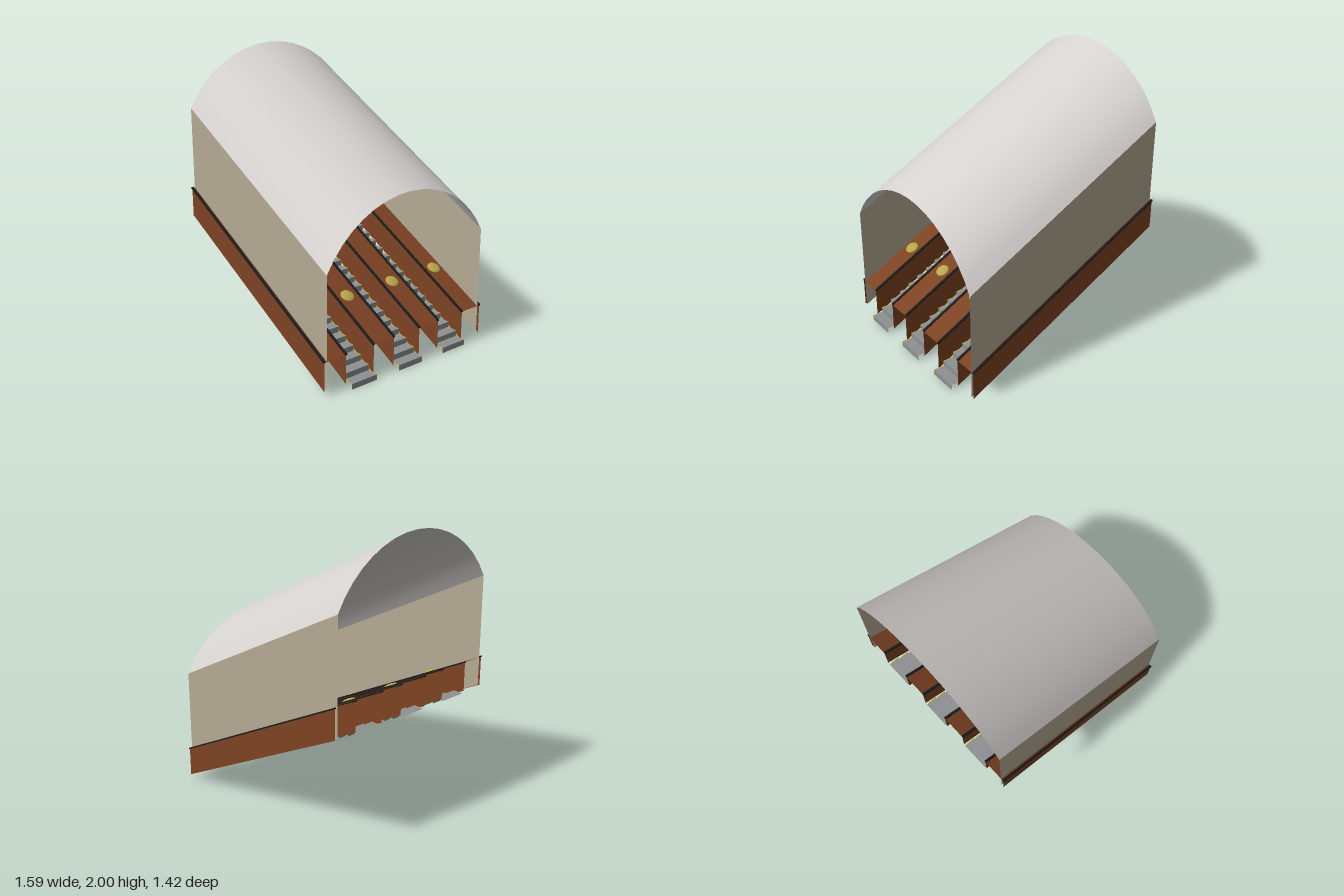
import * as THREE from 'three';

const X0 = -0.797, X1 = 0.752, SLOPE = 0.5;
const drop = (x) => SLOPE * (x - X0);

const mat = (name, color, side = THREE.DoubleSide) => {
  const m = new THREE.MeshStandardMaterial({ color, side });
  m.name = name;
  return m;
};

// Sweeps an open [z, y] profile down the incline; y is given at the upper end
function sweep(profile) {
  const pos = [], idx = [];
  for (const [z, y] of profile) pos.push(X0, y, z, X1, y - drop(X1), z);
  for (let i = 0; i < profile.length - 1; i++) {
    const a = i * 2;
    idx.push(a, a + 1, a + 2, a + 1, a + 3, a + 2);
  }
  const g = new THREE.BufferGeometry();
  g.setAttribute('position', new THREE.Float32BufferAttribute(pos, 3));
  g.setIndex(idx);
  g.computeVertexNormals();
  return g;
}

// Staircase sheet of treads and risers between two z values
function stairSheet(z0, z1, lift = 0) {
  const n = 20, run = 1.592 / n, rise = 0.785 / n, pos = [];
  const quad = (xa, ya, xb, yb) => pos.push(
    xa, ya, z0, xa, ya, z1, xb, yb, z1, xa, ya, z0, xb, yb, z1, xb, yb, z0);
  for (let k = 0; k < n; k++) {
    const x = X0 + k * run + lift, y = 0.785 - k * rise + lift;
    quad(x, y, x + run, y);
    quad(x + run, y, x + run, y - rise);
  }
  const g = new THREE.BufferGeometry();
  g.setAttribute('position', new THREE.Float32BufferAttribute(pos, 3));
  g.computeVertexNormals();
  return g;
}

export function createModel() {
  const group = new THREE.Group();
  group.name = 'escalatorTunnel';
  const M = {
    roof: mat('pale grey', 0xd6d2d0),
    wall: mat('beige', 0xb5a994),
    brown: mat('brown', 0x7c4223),
    black: mat('black', 0x1c1c1c),
    step: mat('steel grey', 0x8e9092),
    yellow: mat('yellow', 0xc9ae2c),
    lamp: mat('lamp yellow', 0xb8a648),
  };
  const add = (name, geo, material, parent = group) => {
    const m = new THREE.Mesh(geo, material);
    m.name = name;
    parent.add(m);
    return m;
  };

  // Vaulted roof
  const half = 0.68, spring = 1.592, rise = 0.408;
  const R = (half * half + rise * rise) / (2 * rise), A = Math.asin(half / R);
  const arc = [];
  for (let i = 0; i <= 16; i++) {
    const a = A - (2 * A * i) / 16;
    arc.push([R * Math.sin(a), 2 - R + R * Math.cos(a)]);
  }
  add('roof', sweep(arc), M.roof);

  // Side walls, carried down behind the outer skirts
  for (const s of [1, -1]) add('wall', sweep([[s * half, 0.805], [s * half, spring]]), M.wall);

  // Balustrades: open channels with two handrails and two lamps each
  const shear = new THREE.Matrix4().set(1, 0, 0, 0, -SLOPE, 1, 0, 0, 0, 0, 1, 0, 0, 0, 0, 1);
  const bottom = 0.8, top = 1.009;
  for (const s of [1, -1]) for (const [za, zb] of [[0.7, 0.525], [0.292, 0.115]]) {
    const b = new THREE.Group();
    b.name = 'balustrade';
    group.add(b);
    for (const z of [za, zb]) {
      add('sidePanel', sweep([[s * z, bottom], [s * z, top]]), M.brown, b);
      const rail = new THREE.BoxGeometry(X1 - X0, 0.01, 0.018);
      rail.translate((X1 - X0) / 2, 0, 0).applyMatrix4(shear).translate(X0, top + 0.002, s * z);
      add('handrail', rail, M.black, b);
    }
    add('topPanel', sweep([[s * za, top], [s * zb, top]]), M.brown, b);
    for (const x of [-0.41, 0.37]) {
      const dome = new THREE.SphereGeometry(0.05, 20, 6, 0, Math.PI * 2, 0, Math.PI / 2);
      dome.scale(1, 0.3, 1);
      const lamp = add('lamp', dome, M.lamp, b);
      lamp.position.set(x, top - drop(x), s * (za + zb) / 2);
      lamp.rotation.z = -Math.atan(SLOPE);
    }
  }

  // Three flights of moving steps with yellow edge lines
  for (const zc of [-0.407, 0, 0.407]) {
    const w = 0.106;
    add('steps', stairSheet(zc - w, zc + w), M.step);
    for (const s of [1, -1]) {
      const e = [zc + s * w, zc + s * (w - 0.005)].sort((a, b) => a - b);
      add('stepEdge', stairSheet(e[0], e[1], 0.001), M.yellow);
    }
  }
  return group;
}
